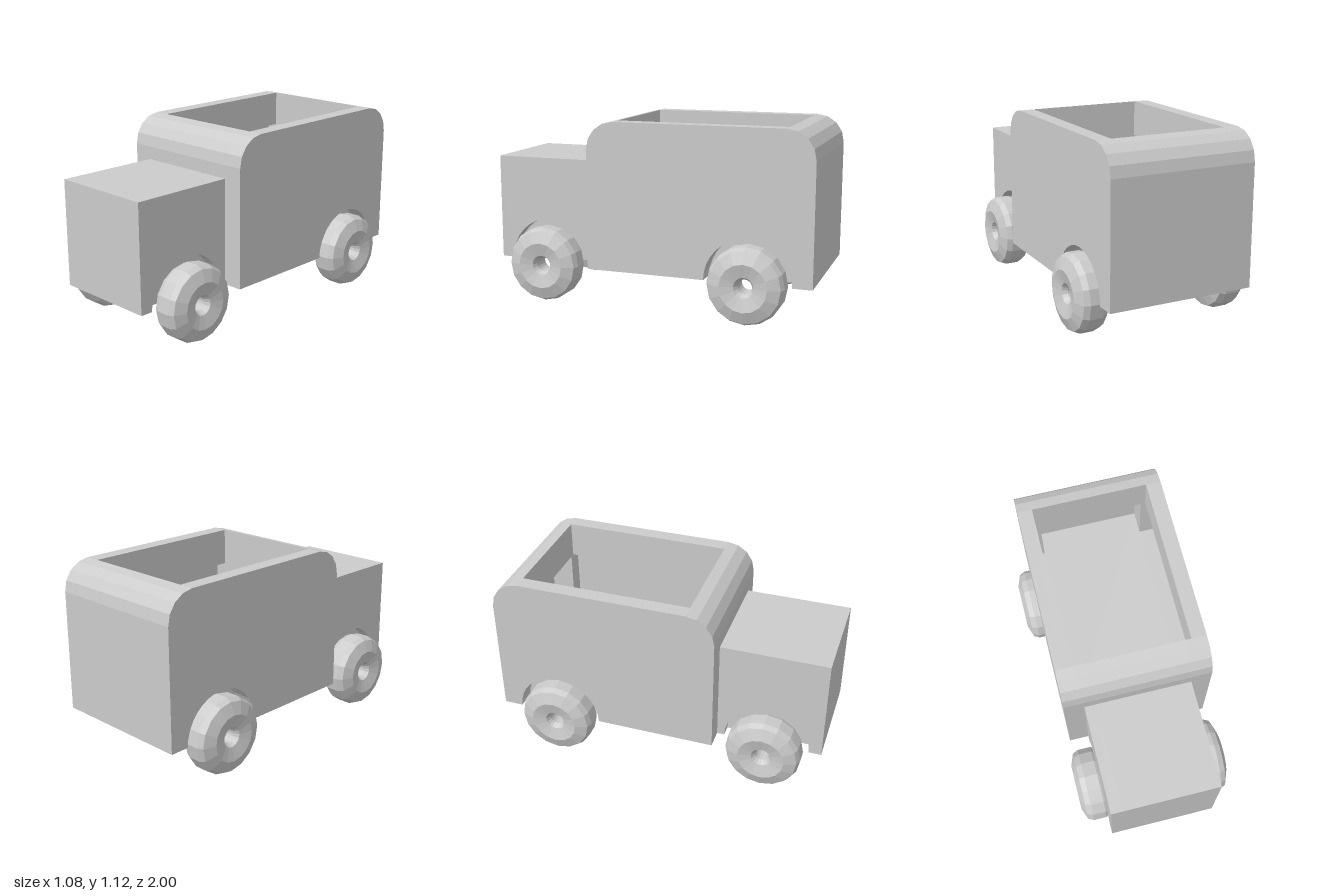
import * as THREE from 'three';

const BASE = 0.23, ROOF = 1.12, FLOOR = 0.53, LIP = 0.9;
const FRONT_AXLE = 0.665, REAR_AXLE = -0.625, ARCH = 0.26, AXLE_HOLE = 0.045;
const OPEN_BACK = -0.83, OPEN_FRONT = 0.19;

// Points of a circular arc in the side plane (z, y)
function arc(z, y, r, from, to, steps) {
  return Array.from({ length: steps + 1 }, (_, i) => {
    const a = from + ((to - from) * i) / steps;
    return [z + r * Math.cos(a), y + r * Math.sin(a)];
  });
}

const toVectors = (pts) => pts.map(([z, y]) => new THREE.Vector2(z, y));

export function createModel() {
  const model = new THREE.Group();
  const material = new THREE.MeshStandardMaterial({ color: 0xcccccc, flatShading: true });

  // Extrudes a side profile between two x positions
  function slab(name, pts, x0, x1, hole) {
    const shape = new THREE.Shape(toVectors(pts));
    if (hole) shape.holes.push(new THREE.Path(toVectors(hole)));
    const geo = new THREE.ExtrudeGeometry(shape, { depth: x1 - x0, bevelEnabled: false });
    geo.rotateY(-Math.PI / 2).translate(x1, 0, 0);
    const mesh = new THREE.Mesh(geo, material);
    mesh.name = name;
    model.add(mesh);
  }

  // Cabin outline: notch radius at the rear axle, rounded roof, optional cut in the roof
  const cabin = (notch, roofCut = []) => [
    [0.36, BASE],
    ...arc(REAR_AXLE, BASE, notch, 0, Math.PI, 16),
    [-1, BASE],
    ...arc(-0.83, ROOF - 0.17, 0.17, Math.PI, Math.PI / 2, 4),
    ...roofCut,
    ...arc(0.19, ROOF - 0.17, 0.17, Math.PI / 2, 0, 4),
  ];
  const hood = (notch) => [
    [1, BASE],
    ...arc(FRONT_AXLE, BASE, notch, 0, Math.PI, 16),
    [0.36, BASE], [0.36, 0.87], [1, 0.87],
  ];

  // Roof opening, with a recess in the back wall below the rim
  const openCut = [[OPEN_BACK, FLOOR], [OPEN_FRONT, FLOOR]];
  const coreCut = [[OPEN_BACK, LIP], [-0.97, LIP], [-0.97, FLOOR], [OPEN_FRONT, FLOOR]];
  const sideRecess = [[OPEN_BACK, FLOOR], [OPEN_FRONT, FLOOR], [OPEN_FRONT, LIP], [OPEN_BACK, LIP]];

  slab('cabinCore', cabin(AXLE_HOLE, coreCut), -0.32, 0.32);
  slab('hoodCore', hood(AXLE_HOLE), -0.25, 0.25);

  // Layers of the two sides, from the inside out
  for (const [side, s] of [['left', 1], ['right', -1]]) {
    const layer = (name, pts, a, b, hole) =>
      slab(side + name, pts, Math.min(s * a, s * b), Math.max(s * a, s * b), hole);
    layer('CabinPosts', cabin(ARCH, openCut), 0.32, 0.35);
    layer('CabinRim', cabin(ARCH), 0.35, 0.42, sideRecess);
    layer('CabinPanel', cabin(ARCH), 0.42, 0.44);
    layer('HoodPanel', hood(ARCH), 0.25, 0.32);
  }

  // Thin trays closing the axle tunnels from below
  for (const [name, z, half] of [['frontAxleTray', FRONT_AXLE, 0.25], ['rearAxleTray', REAR_AXLE, 0.32]]) {
    const geo = new THREE.PlaneGeometry(half * 2, AXLE_HOLE * 2).rotateX(Math.PI / 2);
    const tray = new THREE.Mesh(geo, material);
    tray.name = name;
    tray.position.set(0, BASE, z);
    model.add(tray);
  }

  // Wheels: faceted tyre with dished sides and an open hub
  const half = [[0.228, 0.04], [0.212, 0.073], [0.14, 0.1], [0.06, 0.08], [0.043, 0.05]];
  const lower = half.map(([r, w]) => [r, -w]).reverse();
  const profile = toVectors([...lower, ...half, lower[0]]);
  const wheelGeo = new THREE.LatheGeometry(profile, 16).rotateZ(Math.PI / 2);
  for (const [name, x, z] of [['front', 0.37, FRONT_AXLE], ['rear', 0.438, REAR_AXLE]]) {
    for (const [side, s] of [['Left', 1], ['Right', -1]]) {
      const wheel = new THREE.Mesh(wheelGeo, material);
      wheel.name = name + side + 'Wheel';
      wheel.position.set(s * x, 0.228, z);
      model.add(wheel);
    }
  }
  return model;
}
